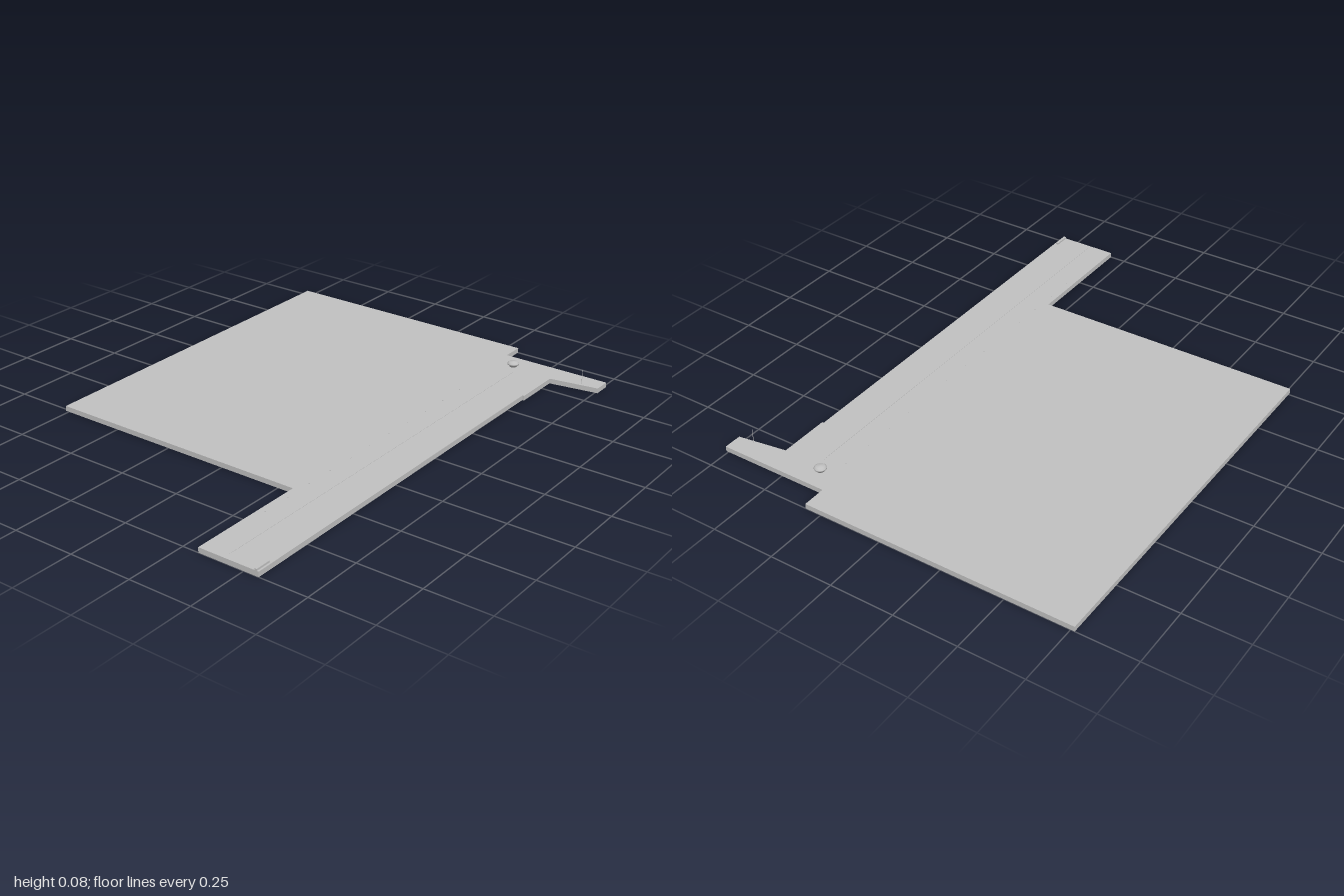
import * as THREE from 'three';

const TOP = 0.02;
const grey = new THREE.MeshStandardMaterial({ color: 0xc0c0c0, side: THREE.DoubleSide });
grey.name = 'light grey';

// Thin shell, open below: a flat top sheet with walls down to the ground.
// The outline lists [x, z] corners, anticlockwise seen from above.
function shell(name, outline) {
  const group = new THREE.Group();
  group.name = name;
  const shape = new THREE.Shape(outline.map(([x, z]) => new THREE.Vector2(x, -z)));
  const sheet = new THREE.Mesh(new THREE.ShapeGeometry(shape).rotateX(-Math.PI / 2).translate(0, TOP, 0), grey);
  sheet.name = name + 'Top';

  const pos = [];
  outline.forEach(([ax, az], i) => {
    const [bx, bz] = outline[(i + 1) % outline.length];
    pos.push(ax, 0, az, bx, 0, bz, bx, TOP, bz, ax, 0, az, bx, TOP, bz, ax, TOP, az);
  });
  const wallGeometry = new THREE.BufferGeometry();
  wallGeometry.setAttribute('position', new THREE.Float32BufferAttribute(pos, 3));
  wallGeometry.computeVertexNormals();
  const walls = new THREE.Mesh(wallGeometry, grey);
  walls.name = name + 'Walls';
  group.add(sheet, walls);
  return group;
}

export function createModel() {
  const model = new THREE.Group();
  model.name = 'slidingRule';
  const add = (name, geometry, x, y, z) => {
    const mesh = new THREE.Mesh(geometry, grey);
    mesh.name = name;
    mesh.position.set(x, y, z);
    model.add(mesh);
  };

  // Large sheet, long arm and tapered jaw
  model.add(shell('sheet', [[-0.51, 0.315], [1, 0.315], [1, -0.765], [-0.51, -0.765]]));
  model.add(shell('arm', [[-1, 0.56], [0.61, 0.56], [0.61, 0.567], [0.87, 0.567], [0.87, 0.315], [-1, 0.315]]));
  model.add(shell('jaw', [[0.81, 0.567], [0.84, 0.76], [0.91, 0.76], [0.91, 0.315], [0.87, 0.315], [0.87, 0.567]]));

  // Round locking knob: short stem with a domed cap
  const knob = [[0, 0], [0.015, 0], [0.015, 0.007], [0.023, 0.009], [0.023, 0.014], [0.016, 0.02], [0, 0.022]];
  add('knob', new THREE.LatheGeometry(knob.map(([r, y]) => new THREE.Vector2(r, y)), 24), 0.83, TOP, 0.39);

  // Small grip bar at the far end of the arm
  add('endGrip', new THREE.BoxGeometry(0.064, 0.007, 0.01), -0.968, TOP + 0.0035, 0.548);

  // Fine pin on the jaw
  add('pin', new THREE.CylinderGeometry(0.001, 0.001, 0.06, 6), 0.84, TOP + 0.03, 0.69);

  // Shallow guide line and tick studs along the arm
  add('guideLine', new THREE.BoxGeometry(1.75, 0.001, 0.002), -0.1, TOP + 0.0005, 0.42);
  const stud = new THREE.BoxGeometry(0.004, 0.001, 0.004);
  for (let i = 0; i < 13; i++) add('tickStud', stud, -0.69 + i * 0.12, TOP + 0.0005, 0.34);

  return model;
}
